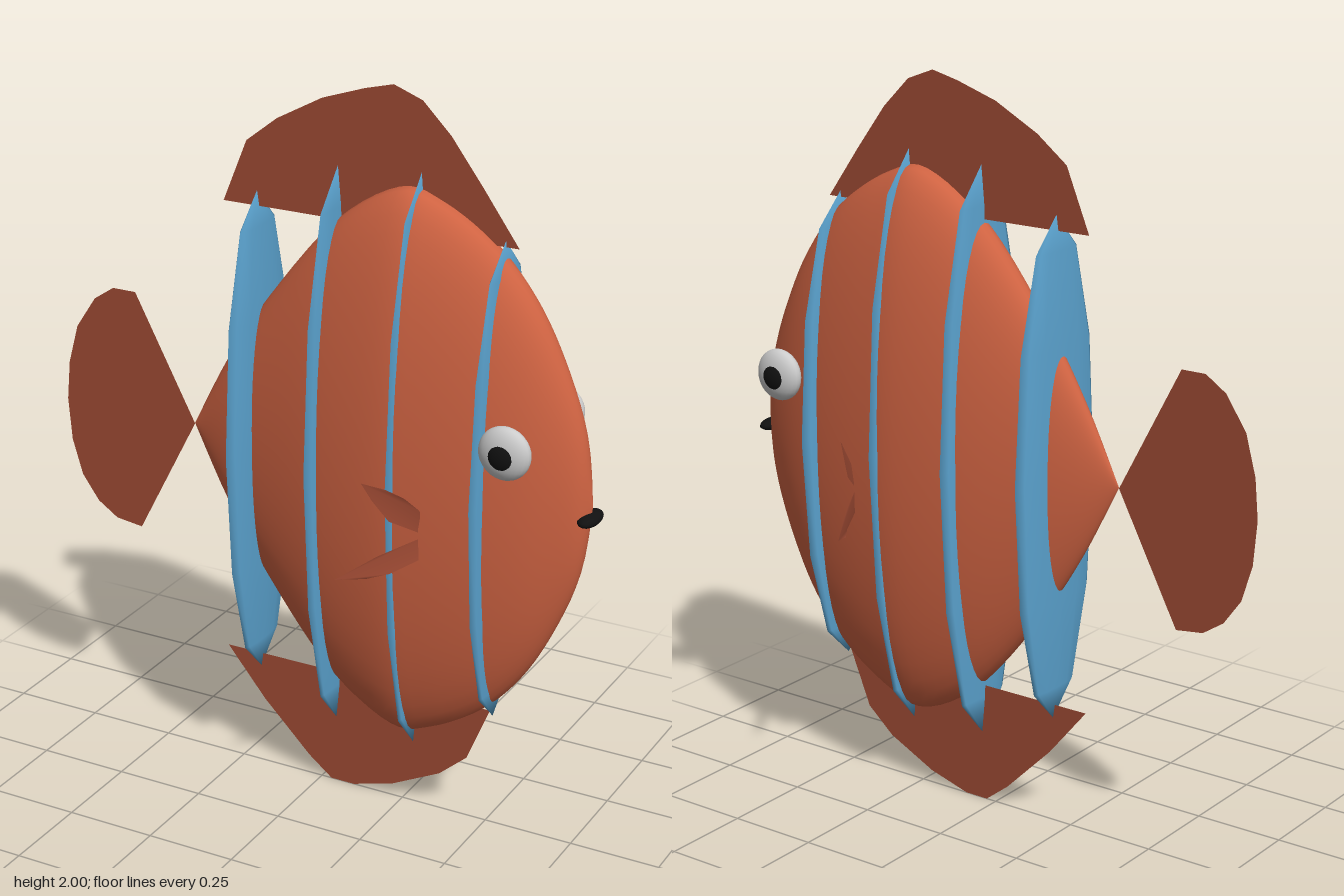
import * as THREE from 'three';

const paint = (color) => new THREE.MeshStandardMaterial({ color });

export function createModel() {
  const fish = new THREE.Group();
  const bodyMat = paint(0xcf6342);
  const finMat = paint(0xa04b34);
  finMat.side = THREE.DoubleSide;
  const blueMat = paint(0x5ba3cf);
  const whiteMat = paint(0xeeeeee);
  const blackMat = paint(0x111111);

  const add = (name, geometry, material) => {
    const mesh = new THREE.Mesh(geometry, material);
    mesh.name = name;
    fish.add(mesh);
    return mesh;
  };
  const ellipsoid = (name, pos, radii, material, w = 24, h = 16) => {
    const mesh = add(name, new THREE.SphereGeometry(1, w, h), material);
    mesh.position.set(...pos);
    mesh.scale.set(...radii);
    return mesh;
  };
  const flatFin = (name, points) =>
    add(name, new THREE.ShapeGeometry(new THREE.Shape(points.map((p) => new THREE.Vector2(...p)))), finMat);

  // Body: turned along x, then squeezed sideways
  const profile = new THREE.SplineCurve([
    [0, -0.39], [0.21, -0.28], [0.41, -0.15], [0.64, 0.04], [0.755, 0.22], [0.735, 0.34],
    [0.65, 0.48], [0.53, 0.59], [0.38, 0.675], [0.2, 0.743], [0, 0.772],
  ].map((p) => new THREE.Vector2(...p))).getPoints(50);
  profile.forEach((p) => { p.x = Math.max(p.x, 0); });
  const bodyGeo = new THREE.LatheGeometry(profile, 48);
  bodyGeo.rotateZ(-Math.PI / 2);
  bodyGeo.scale(1, 1, 0.21);
  bodyGeo.translate(0, 0.987, 0);
  add('body', bodyGeo, bodyMat);

  // Stripes: thin upright discs through the body
  [
    [-0.19, 0.685, 0.027, 0.177], [0.045, 0.785, 0.019, 0.184],
    [0.28, 0.8, 0.018, 0.185], [0.513, 0.66, 0.02, 0.182],
  ].forEach(([x, ry, rx, rz], i) =>
    ellipsoid(`stripe${i + 1}`, [x, 0.987, 0], [rx, ry, rz], blueMat, 12, 6));

  // Flat fins on the centre plane
  flatFin('dorsalFin', [
    [-0.29, 1.63], [0.55, 1.63], [0.45, 1.77], [0.36, 1.89], [0.28, 1.97], [0.2, 2],
    [0.12, 1.98], [0, 1.94], [-0.13, 1.87], [-0.22, 1.8],
  ]);
  flatFin('bellyFin', [
    [-0.295, 0.34], [-0.18, 0.2], [-0.04, 0.06], [0.03, 0.005], [0.1, 0.005],
    [0.22, 0.04], [0.36, 0.11], [0.44, 0.18], [0.505, 0.34],
  ]);
  flatFin('tailFin', [
    [-0.39, 0.985], [-0.57, 1.33], [-0.64, 1.33], [-0.7, 1.29], [-0.76, 1.2], [-0.79, 1.09],
    [-0.8, 0.98], [-0.79, 0.86], [-0.76, 0.76], [-0.71, 0.69], [-0.65, 0.65], [-0.57, 0.64],
  ]);

  // Side fin blades: fans of triangles from the tip
  const blades = {
    upper: [[0.275, 1.065, 0.305], [0.29, 1.01, 0.275], [0.315, 0.94, 0.23], [0.365, 0.88, 0.14],
      [0.365, 0.95, 0.155], [0.345, 1.0, 0.205], [0.315, 1.035, 0.25]],
    lower: [[0.235, 0.818, 0.37], [0.28, 0.795, 0.285], [0.32, 0.795, 0.23], [0.365, 0.81, 0.14],
      [0.365, 0.87, 0.14], [0.3, 0.852, 0.26]],
  };
  for (const [side, s] of [['left', 1], ['right', -1]]) {
    // Model faces +z, so these mirror across z as near and far sides
    const near = s > 0 ? 'front' : 'back';
    for (const [key, pts] of Object.entries(blades)) {
      const verts = pts.map(([x, y, z]) => [x, y, z * s]);
      const index = [];
      for (let i = 1; i < verts.length - 1; i++) {
        index.push(0, s > 0 ? i : i + 1, s > 0 ? i + 1 : i);
      }
      const geo = new THREE.BufferGeometry();
      geo.setAttribute('position', new THREE.Float32BufferAttribute(verts.flat(), 3));
      geo.setIndex(index);
      geo.computeVertexNormals();
      add(`${near}${key}SideFin`, geo, finMat);
    }
    // Eyes
    ellipsoid(`${near}Eye`, [0.6, 1.16, 0.165 * s], [0.071, 0.071, 0.034], whiteMat);
    ellipsoid(`${near}Pupil`, [0.6, 1.158, 0.187 * s], [0.037, 0.037, 0.016], blackMat);
  }

  // Mouth
  ellipsoid('mouth', [0.766, 0.955, 0], [0.028, 0.017, 0.056], blackMat, 16, 10);

  return fish;
}
